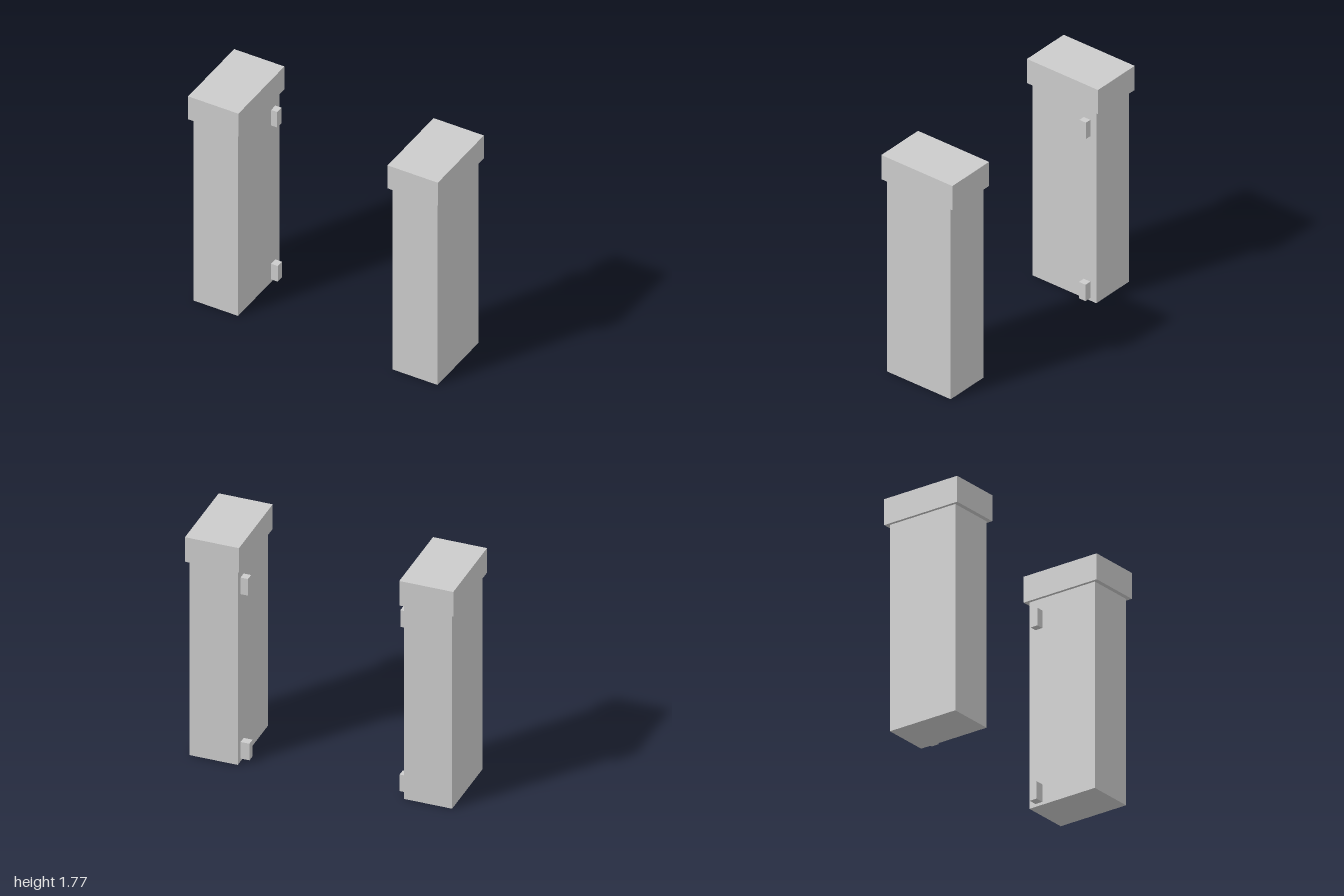
import * as THREE from 'three';

export function createModel() {
  const model = new THREE.Group();
  model.name = 'gatePosts';
  const material = new THREE.MeshStandardMaterial({ color: 0xcccccc, flatShading: true });

  // Box given by its limits on each axis
  function box(parent, name, [x0, x1], [y0, y1], [z0, z1]) {
    const mesh = new THREE.Mesh(new THREE.BoxGeometry(Math.abs(x1 - x0), y1 - y0, z1 - z0), material);
    mesh.position.set((x0 + x1) / 2, (y0 + y1) / 2, (z0 + z1) / 2);
    mesh.name = name;
    parent.add(mesh);
  }

  // Each post has a capstone and two hinge blocks on its inner face
  const posts = [
    { name: 'rightPost', side: -1, outer: 1, upper: 0.572, lower: 0.567 },
    { name: 'leftPost', side: 1, outer: 0.997, upper: 0.562, lower: 0.551 },
  ];
  for (const { name, side, outer, upper, lower } of posts) {
    const post = new THREE.Group();
    post.name = name;
    const inner = outer - 0.38;
    box(post, 'pillar', [side * inner, side * (outer - 0.022)], [0, 1.575], [-0.284, 0.284]);
    box(post, 'capstone', [side * (outer - 0.402), side * outer], [1.575, 1.773], [-0.317, 0.317]);
    box(post, 'upperHinge', [side * upper, side * (inner + 0.005)], [1.349, 1.483], [-0.231, -0.172]);
    box(post, 'lowerHinge', [side * lower, side * (inner + 0.005)], [0.022, 0.156], [-0.231, -0.172]);
    model.add(post);
  }
  return model;
}
